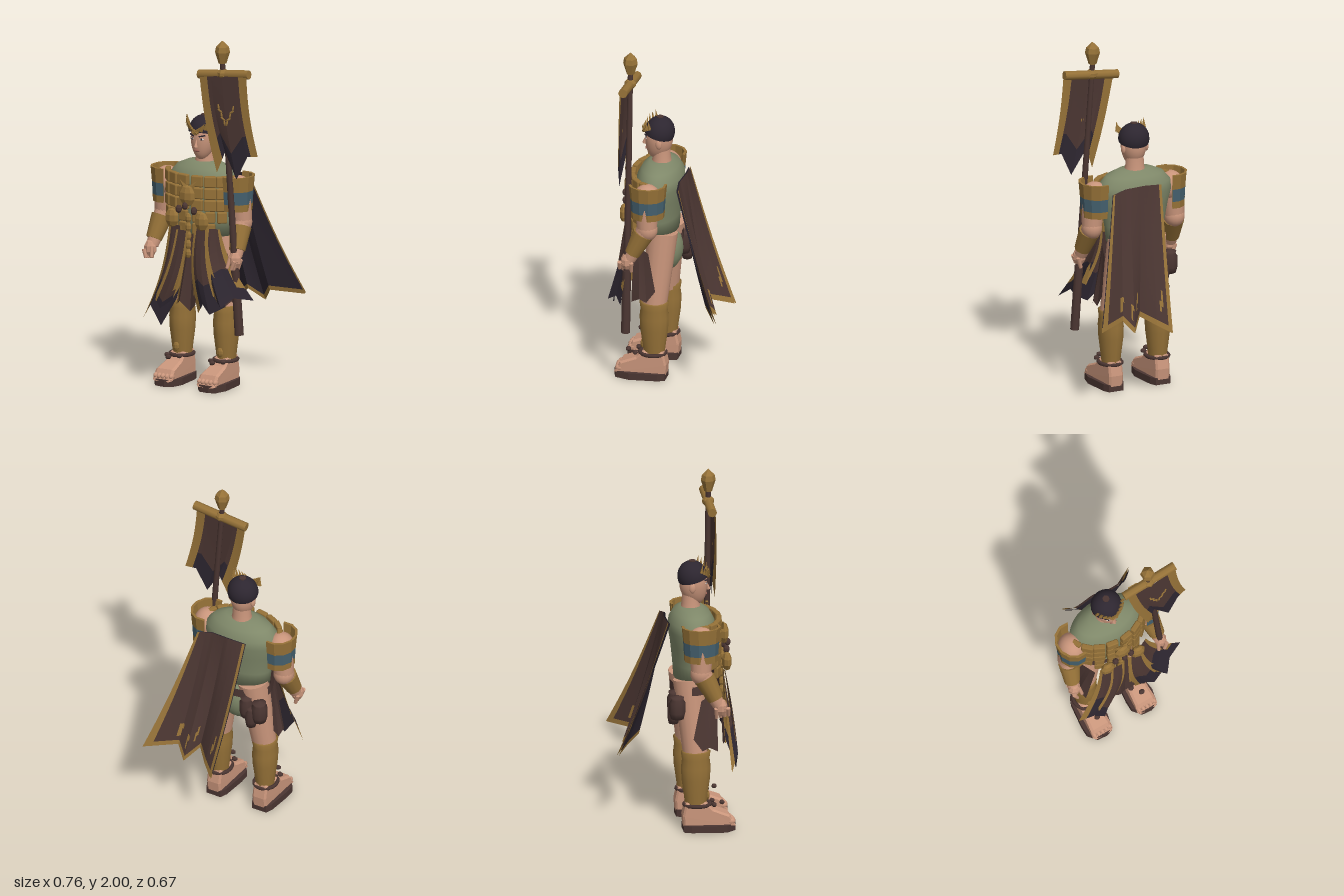
import * as THREE from 'three';
import { RoundedBoxGeometry } from 'three/addons/geometries/RoundedBoxGeometry.js';

const CX = -0.058; // mirror line of the body
const mat = (name, color) => new THREE.MeshStandardMaterial({ name, color, side: THREE.DoubleSide });
const V = (p) => new THREE.Vector3(...p);

export function createModel() {
  const gold = mat('gold', 0x967238), brown = mat('brown leather', 0x4b3632), dark = mat('dark cloth', 0x2d2630),
    skin = mat('skin', 0xc9957b), green = mat('green tunic', 0x7f8869), blue = mat('blue band', 0x45616f),
    white = mat('eye white', 0xd8d0c8), lip = mat('lip', 0x9c6256);
  const root = new THREE.Group();
  root.name = 'standardBearer';

  const add = (name, geo, m, p = [0, 0, 0], r = [0, 0, 0], s = [1, 1, 1]) => {
    const mesh = new THREE.Mesh(geo, m);
    mesh.name = name;
    mesh.position.set(...p); mesh.rotation.set(...r); mesh.scale.set(...s);
    root.add(mesh);
    return mesh;
  };
  const flat = (g) => { const f = g.index ? g.toNonIndexed() : g; f.computeVertexNormals(); return f; };
  const ball = (name, m, p, s, r) => add(name, new THREE.SphereGeometry(1, 18, 12), m, p, r, s);
  const gem = (name, m, p, s, r) => add(name, flat(new THREE.SphereGeometry(1, 8, 5)), m, p, r, s);
  const lathe = (name, m, pts, p, s, n = 24) =>
    add(name, new THREE.LatheGeometry(pts.map((q) => new THREE.Vector2(...q)), n), m, p, undefined, s);
  // tapered rod between two points
  const limb = (name, m, a, b, ra, rb, n = 16) => {
    const A = V(a), B = V(b), d = B.clone().sub(A);
    const mesh = add(name, new THREE.CylinderGeometry(rb, ra, d.length(), n), m, A.clone().add(B).multiplyScalar(0.5).toArray());
    mesh.quaternion.setFromUnitVectors(new THREE.Vector3(0, 1, 0), d.normalize());
    return mesh;
  };
  // point at u along a polyline
  const along = (pts, u) => {
    const t = u * (pts.length - 1), i = Math.min(Math.floor(t), pts.length - 2);
    return V(pts[i]).lerp(V(pts[i + 1]), t - i);
  };
  // hanging sheet between a top and a bottom polyline, coloured cell by cell
  const cloth = (name, top, bottom, pick, sag = [0, 0, 0], nu = 18, nv = 12) => {
    const pos = [], sets = new Map();
    for (let j = 0; j <= nv; j++) for (let i = 0; i <= nu; i++) {
      const u = i / nu, v = j / nv;
      const p = along(top, u).lerp(along(bottom, u), v).addScaledVector(V(sag), Math.sin(Math.PI * v));
      pos.push(p.x, p.y, p.z);
      if (i === nu || j === nv) continue;
      const m = pick(u + 0.5 / nu, v + 0.5 / nv), a = j * (nu + 1) + i, b = a + nu + 1;
      if (!sets.has(m)) sets.set(m, []);
      sets.get(m).push(a, b, a + 1, a + 1, b, b + 1);
    }
    const g = new THREE.BufferGeometry(), idx = [], mats = [...sets.keys()];
    mats.forEach((m, k) => { g.addGroup(idx.length, sets.get(m).length, k); idx.push(...sets.get(m)); });
    g.setAttribute('position', new THREE.Float32BufferAttribute(pos, 3));
    g.setIndex(idx);
    return add(name, flat(g), mats);
  };

  // torso, hips and neck
  lathe('tunic', green, [[0, 0.85], [0.17, 0.86], [0.18, 0.95], [0.2, 1.06], [0.222, 1.14], [0.215, 1.19], [0.17, 1.24], [0.1, 1.27], [0, 1.275]],
    [CX, 0, 0.09], [1, 1, 0.59], 32);
  ball('briefs', green, [CX, 0.73, 0.065], [0.135, 0.13, 0.1]);
  lathe('neck', skin, [[0.065, 1.24], [0.053, 1.29], [0.05, 1.36]], [CX, 0, 0.085], [1, 1, 0.95]);
  add('belt', new THREE.CylinderGeometry(0.175, 0.18, 0.05, 24, 1, true, Math.PI, 4.1), brown, [CX, 0.82, 0.08], undefined, [1, 1, 0.64]);

  // head narrowing to the chin
  const skull = new THREE.SphereGeometry(1, 28, 20), sp = skull.attributes.position;
  for (let i = 0; i < sp.count; i++) {
    const t = Math.max(0, -sp.getY(i));
    sp.setX(i, sp.getX(i) * (1 - 0.12 * t));
    sp.setZ(i, sp.getZ(i) + 0.22 * t * t);
  }
  skull.computeVertexNormals();
  add('head', skull, skin, [CX, 1.4, 0.1], undefined, [0.071, 0.122, 0.078]);
  add('nose', flat(new THREE.ConeGeometry(0.013, 0.05, 4)), skin, [CX, 1.385, 0.18], [-0.2, 0, 0]);
  ball('lips', lip, [CX, 1.338, 0.172], [0.02, 0.007, 0.006]);
  for (const s of [-1, 1]) {
    ball('ear', skin, [CX + s * 0.071, 1.39, 0.085], [0.012, 0.028, 0.018]);
    ball('eye', white, [CX + s * 0.029, 1.405, 0.167], [0.014, 0.006, 0.006], [0, s * 0.35, 0]);
    ball('iris', dark, [CX + s * 0.029, 1.405, 0.171], [0.005, 0.006, 0.004]);
    add('eyebrow', new THREE.BoxGeometry(0.036, 0.007, 0.008), dark, [CX + s * 0.032, 1.424, 0.168], [0, s * 0.4, s * 0.2]);
    // laurel leaves rising from the brow
    for (let i = 0; i < 6; i++) {
      const a = s * (0.08 + i * 0.2);
      add('laurelLeaf', flat(new THREE.ConeGeometry(0.015, 0.055, 5)), gold,
        [CX + Math.sin(a) * 0.094, 1.455 + i * 0.011, 0.093 + Math.cos(a) * 0.097], [0.15, 0, -s * (0.9 - i * 0.17)], [1, 1, 0.6]);
    }
  }
  add('hair', new THREE.SphereGeometry(1, 24, 12, 0, Math.PI * 2, 0, 1.75), dark, [CX, 1.44, 0.096], [-0.25, 0, 0], [0.088, 0.092, 0.084]);
  add('hairWhorl', new THREE.CylinderGeometry(0.02, 0.02, 0.006, 8), brown, [CX, 1.531, 0.094]);

  for (const s of [-1, 1]) {
    const X = (o) => CX + s * o;
    // arm, bracer and hand
    ball('shoulder', skin, [X(0.235), 1.13, 0.11], [0.075, 0.085, 0.08]);
    limb('upperArm', skin, [X(0.245), 1.13, 0.11], [X(0.256), 0.95, 0.105], 0.068, 0.056);
    ball('elbow', skin, [X(0.256), 0.95, 0.105], [0.058, 0.065, 0.06]);
    limb('forearm', skin, [X(0.256), 0.95, 0.11], [X(0.277), 0.77, 0.2], 0.055, 0.035);
    limb('bracer', gold, [X(0.26), 0.925, 0.125], [X(0.276), 0.805, 0.185], 0.061, 0.045, 12);
    gem('hand', skin, [X(0.28), 0.755, 0.215], [0.038, 0.052, 0.036]);
    for (let i = 0; i < 4; i++) {
      const z = 0.185 + i * 0.022;
      limb('finger', skin, [X(0.3), 0.755, z], [X(0.283), 0.695 + i * 0.004, z + 0.005], 0.013, 0.01, 7);
    }
    limb('thumb', skin, [X(0.26), 0.77, 0.23], [X(0.25), 0.71, 0.25], 0.013, 0.01, 7);

    // shoulder guard: three faceted bands with raised rims
    const band = (name, m, y, h, r0, r1) => add(name, flat(new THREE.CylinderGeometry(r1, r0, h, 7, 1, true, s * Math.PI / 2 - 1.85, 3.7)),
      m, [X(0.225), y, 0.11], undefined, [0.93, 1, 1.02]);
    band('guardLower', gold, 1.04, 0.04, 0.094, 0.096);
    band('guardBand', blue, 1.095, 0.08, 0.095, 0.1);
    band('guardUpper', gold, 1.175, 0.085, 0.1, 0.108);
    band('guardInner', gold, 1.12, 0.19, 0.084, 0.096);
    const rim = new THREE.RingGeometry(0.094, 0.109, 7, 1, -1.85, 3.7);
    add('guardRim', flat(rim), gold, [X(0.225), 1.217, 0.11], [-Math.PI / 2, 0, s > 0 ? 0 : Math.PI], [0.93, 1.02, 1]);

    // leg, greave and sandal
    limb('thigh', skin, [X(0.085), 0.87, 0.06], [X(0.14), 0.44, 0.09], 0.088, 0.068);
    lathe('greave', gold, [[0.05, 0.14], [0.056, 0.2], [0.068, 0.3], [0.071, 0.37], [0.066, 0.42], [0.071, 0.46], [0.06, 0.465]],
      [X(0.145), 0, 0.092], [1, 1, 1.18], 14);
    gem('greaveStud', gold, [X(0.145), 0.2, 0.158], [0.02, 0.028, 0.012]);
    add('ankleStrap', new THREE.TorusGeometry(0.06, 0.011, 6, 16), brown, [X(0.145), 0.152, 0.1], [Math.PI / 2, 0, 0], [1.05, 1.2, 1]);
    for (const [o, z] of [[-0.04, 0.19], [0, 0.24], [0.04, 0.19]])
      gem('strapBead', brown, [X(0.145) + o, 0.155, z], [0.018, 0.013, 0.015]);
    const side = new THREE.Shape([[0.03, 0.03], [0.025, 0.09], [0.04, 0.16], [0.14, 0.16], [0.18, 0.12], [0.27, 0.085], [0.3, 0.035]].map((p) => new THREE.Vector2(...p)));
    const foot = new THREE.ExtrudeGeometry(side, { depth: 0.09, bevelSize: 0.01, bevelThickness: 0.015, bevelSegments: 1 });
    foot.translate(0, 0, -0.045);
    foot.rotateY(-Math.PI / 2);
    const fp = foot.attributes.position;
    for (let i = 0; i < fp.count; i++) fp.setX(i, fp.getX(i) * (0.72 + 1.35 * Math.max(0, fp.getZ(i) - 0.05)));
    add('foot', flat(foot), skin, [X(0.145), 0, 0]);
    for (let i = 0; i < 5; i++)
      ball('toe', skin, [X(0.145) + (i - 2) * 0.025, 0.055, 0.29 - Math.abs(i - 1.5) * 0.004], [0.014, 0.017, 0.024]);
    const sole = new THREE.Shape();
    sole.moveTo(-0.045, 0.02).lineTo(0.045, 0.02).lineTo(0.062, 0.06).lineTo(0.08, 0.22).lineTo(0.06, 0.3);
    sole.lineTo(0.02, 0.315).lineTo(-0.04, 0.31).lineTo(-0.08, 0.26).lineTo(-0.08, 0.2).lineTo(-0.062, 0.06);
    const sg = new THREE.ExtrudeGeometry(sole, { depth: 0.04, bevelEnabled: false });
    add('sandalSole', flat(sg), brown, [X(0.145), 0.04, 0], [Math.PI / 2, 0, 0]);

    // chest plates stepping round the body
    [[0.045, 5], [0.118, 5], [0.175, 4], [0.216, 3]].forEach(([o, rows], c) => {
      const a = Math.asin(o / 0.225);
      for (let r = 0; r < rows; r++)
        add('chestPlate', new RoundedBoxGeometry(c === 3 ? 0.055 : 0.07, 0.064, 0.032, 1, 0.008), gold,
          [X(o), 1.182 - r * 0.068, 0.09 + Math.cos(a) * 0.15], [0, s * a * 0.85, 0], r > 2 ? [0.8, 1, 0.8] : [1, 1, 1]);
    });
    gem('chestDisc', gold, [X(0.098), 0.965, 0.275], [0.045, 0.055, 0.028]);
    gem('chestKnot', brown, [X(0.05), 1.02, 0.28], [0.019, 0.024, 0.018]);
    add('medallionWing', flat(new THREE.ConeGeometry(0.03, 0.08, 5)), gold, [X(0.03), 1.155, 0.262], [0, 0, -s * 0.7], [1, 1, 0.5]);

    // cloth hanging over the outer thigh
    cloth('thighCloth', [[X(0.14), 0.8, 0.21], [X(0.17), 0.76, 0.12]],
      [[X(0.2), 0.47, 0.21], [X(0.22), 0.5, 0.16], [X(0.215), 0.48, 0.12], [X(0.21), 0.55, 0.07]], () => brown);
  }
  gem('medallion', gold, [CX, 1.1, 0.272], [0.052, 0.062, 0.028]);
  gem('medallionKnot', brown, [CX, 1.045, 0.295], [0.018, 0.022, 0.016]);
  for (let i = 0; i < 5; i++) gem('pendant', gold, [CX, 0.97 - i * 0.05, 0.26], [0.02, 0.03, 0.016]);

  // front skirt strips: gold edges, dark tips
  const strip = (top, bottom, sag, tip) => cloth('skirtStrip', top, bottom,
    (u, v) => (u < 0.16 || (u > 0.86 && v < 0.8) ? gold : v > tip ? dark : brown), sag);
  strip([[-0.19, 0.92, 0.25], [-0.1, 0.92, 0.26]], [[-0.345, 0.37, 0.275], [-0.27, 0.46, 0.32], [-0.2, 0.35, 0.32], [-0.13, 0.5, 0.27]], [0.03, 0, 0], 0.68);
  strip([[-0.13, 0.9, 0.27], [-0.05, 0.9, 0.275]], [[-0.25, 0.5, 0.31], [-0.2, 0.45, 0.33], [-0.14, 0.5, 0.3]], [0.025, 0, 0.01], 0.9);
  strip([[-0.07, 0.88, 0.25], [0.0, 0.88, 0.25]], [[-0.13, 0.47, 0.27], [-0.09, 0.5, 0.3], [-0.04, 0.44, 0.27], [0.01, 0.49, 0.29]], [0, 0, 0], 1);
  strip([[-0.01, 0.92, 0.27], [0.07, 0.92, 0.265]], [[0.02, 0.44, 0.28], [0.07, 0.5, 0.31], [0.12, 0.45, 0.32], [0.21, 0.5, 0.29]], [-0.025, 0, 0.01], 0.7);
  strip([[0.06, 0.92, 0.25], [0.125, 0.92, 0.22]], [[0.14, 0.55, 0.3], [0.2, 0.5, 0.33], [0.25, 0.55, 0.27], [0.35, 0.54, 0.22]], [-0.035, 0, 0], 0.62);

  // belt pouches on the right hip
  for (const [x, y, z, r] of [[-0.225, 0.73, -0.015, 0.046], [-0.145, 0.74, -0.02, 0.04], [-0.18, 0.69, -0.03, 0.034]])
    lathe('pouch', brown, [[0, -0.07], [0.8 * r, -0.065], [r, -0.03], [r, 0.03], [0.75 * r, 0.045], [0.85 * r, 0.06], [0, 0.07]], [x, y, z], undefined, 10);

  // cape: brown outside with a gold hem and flecks, dark lining
  const capeTop = [[-0.155, 1.2, -0.055], [-0.05, 1.21, -0.065], [0.06, 1.2, -0.05], [0.145, 1.18, -0.06]];
  const capeEnd = [[-0.09, 0.42, -0.335], [-0.02, 0.46, -0.275], [0.05, 0.5, -0.2], [0.115, 0.43, -0.275], [0.17, 0.5, -0.235], [0.345, 0.48, -0.33]];
  const fleck = (u, v) => [0.12, 0.5, 0.62, 0.8].some((f, k) => Math.abs(u - f - (v - 0.8) * 0.2) < 0.018 && v > 0.72 + 0.03 * k && v < 0.86 + 0.02 * k);
  cloth('cape', capeTop, capeEnd, (u, v) => (u < 0.05 || u > 0.96 || v > 0.955 || fleck(u, v) ? gold : brown), [0, -0.03, 0], 40, 24);
  const inward = (pts) => pts.map(([x, y, z]) => [x, y - 0.004, z + 0.01]);
  cloth('capeLining', inward(capeTop), inward(capeEnd), (u, v) => (v > 0.97 ? gold : dark), [0, -0.03, 0], 40, 24);

  // banner pole, crossbar and finial
  limb('pole', brown, [0.251, 0.33, 0.215], [0.14, 1.87, 0.215], 0.021, 0.015, 8);
  limb('poleGrip', brown, [0.251, 0.33, 0.215], [0.224, 0.7, 0.215], 0.026, 0.025, 8);
  limb('crossbar', gold, [-0.015, 1.79, 0.215], [0.315, 1.825, 0.215], 0.026, 0.026, 8);
  gem('crossbarKnot', gold, [0.145, 1.81, 0.215], [0.035, 0.03, 0.035]);
  add('finial', flat(new THREE.LatheGeometry([[0, 1.865], [0.022, 1.87], [0.042, 1.935], [0.036, 1.965], [0, 2]].map((p) => new THREE.Vector2(...p)), 6)), gold, [0.14, 0, 0.215]);

  // banner with gold sides, dark swallow tails and a laurel emblem
  cloth('banner', [[0.0, 1.79, 0.235], [0.15, 1.8, 0.24], [0.31, 1.815, 0.235]],
    [[0.125, 1.25, 0.25], [0.17, 1.37, 0.235], [0.255, 1.225, 0.25], [0.32, 1.36, 0.24], [0.38, 1.365, 0.225]],
    (u, v) => (u < 0.17 || u > 0.84 ? gold : v > 0.74 ? dark : brown), [-0.012, 0, 0.005], 24, 16);
  for (const s of [-1, 1]) for (let i = 0; i < 5; i++)
    gem('bannerLaurel', gold, [0.185 + s * (0.008 + i * 0.01), 1.54 + i * 0.022, 0.252], [0.006, 0.018, 0.004], [0, 0, -s * (i % 2 ? 1.1 : 0.2)]);

  return root;
}
